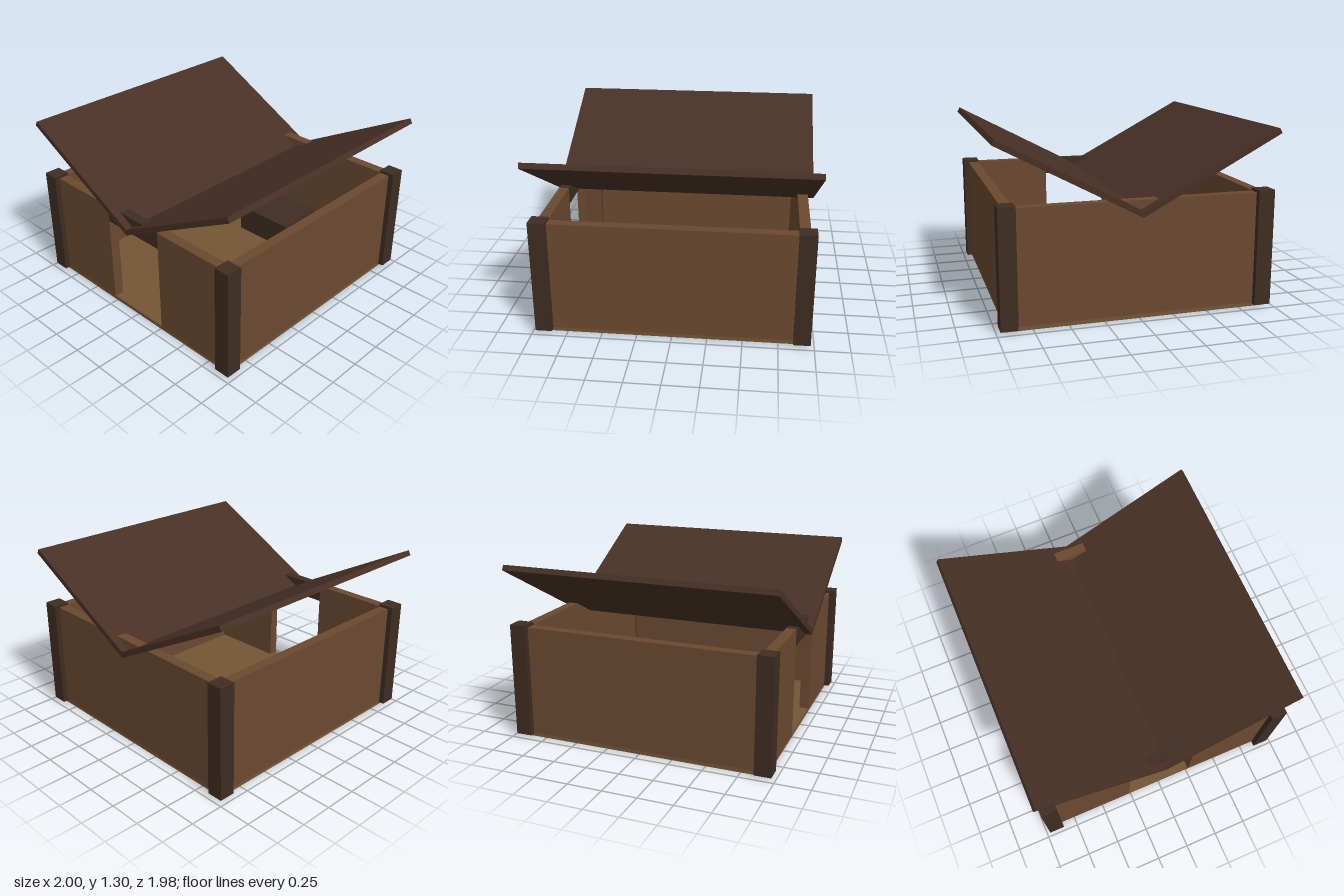
import * as THREE from 'three';

const paint = (color) => new THREE.MeshStandardMaterial({ color, flatShading: true });

export function createModel() {
  const model = new THREE.Group();
  const plank = paint(0x6b4930);
  const darkWood = paint(0x3f2d22);
  const roofWood = paint(0x483025);
  const floorWood = paint(0x755535);

  // Box given by its low and high corners
  function block(name, lo, hi, material) {
    const size = hi.map((v, i) => v - lo[i]);
    const mesh = new THREE.Mesh(new THREE.BoxGeometry(...size), material);
    mesh.position.set(...hi.map((v, i) => (v + lo[i]) / 2));
    mesh.name = name;
    model.add(mesh);
    return mesh;
  }

  const outer = 0.935, inner = 0.86, base = 0.03, top = 0.84, door = 0.265;

  // Floor slab
  block('floor', [-0.93, 0, -0.93], [0.93, base, 0.93], floorWood);

  // Back wall, and the lintel over the doorway
  block('backWall', [-inner, base, -outer], [inner, top, -inner], plank);
  block('lintel', [-door, 0.71, inner], [door, top, outer], darkWood);

  for (const [side, s] of [['left', 1], ['right', -1]]) {
    const span = (a, b) => (s > 0 ? [a, b] : [-b, -a]);

    // Side wall and front wall panel beside the doorway
    const [w0, w1] = span(inner, outer);
    block(side + 'Wall', [w0, base, -outer], [w1, top, outer], plank);
    const [f0, f1] = span(door, inner);
    block(side + 'FrontWall', [f0, base, inner], [f1, top, outer], plank);

    // Corner posts
    const [p0, p1] = span(0.855, 0.975);
    block(side + 'FrontPost', [p0, 0.02, 0.855], [p1, 0.86, 0.975], darkWood);
    block(side + 'BackPost', [p0, 0.02, -0.975], [p1, 0.86, -0.855], darkWood);

    // Sloping roof panel, rising outward from the central valley
    const roof = block(side + 'RoofPanel', [-0.566, -0.02, -0.992], [0.566, 0.02, 0.992], roofWood);
    roof.position.set(s * 0.491, 1.0125, 0);
    roof.rotation.z = s * 0.487;
  }

  // Low chest against the back wall
  block('chest', [-0.25, base, -inner], [0.25, 0.25, -0.47], darkWood);

  return model;
}
